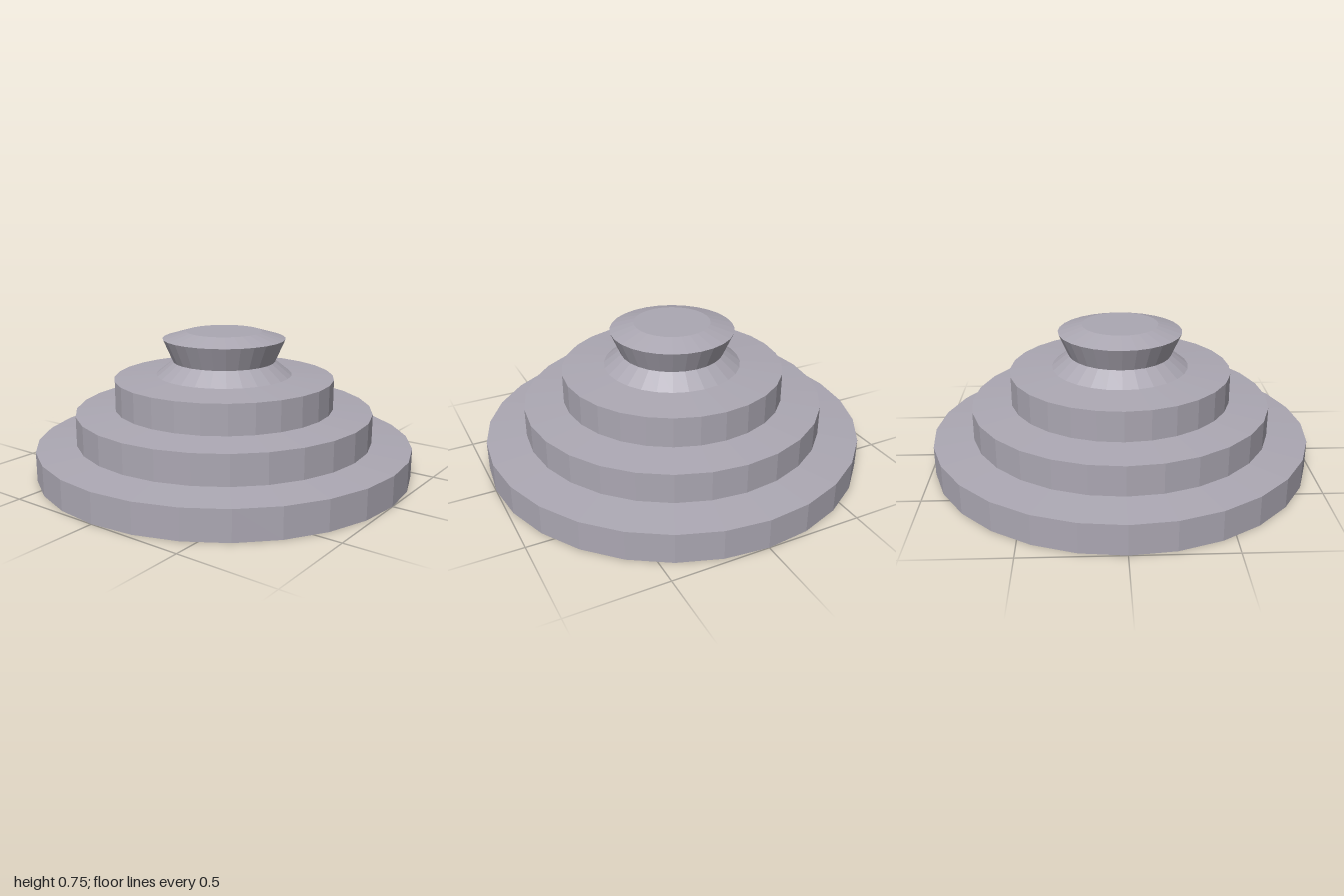
import * as THREE from 'three';

const SIDES = 28;

export function createModel() {
  const model = new THREE.Group();
  model.name = 'steppedPedestal';
  const stone = new THREE.MeshStandardMaterial({ color: 0xaba7b2, flatShading: true });
  stone.name = 'mauve grey stone';

  // Each part is a faceted ring turned from a [radius, height] profile, bottom to top
  const parts = {
    baseTier: [[0, 0], [1, 0], [1, 0.155], [0.79, 0.173]],
    middleTier: [[0.79, 0.173], [0.79, 0.328], [0.583, 0.345]],
    upperTier: [[0.583, 0.345], [0.583, 0.502], [0.36, 0.518]],
    neck: [[0.36, 0.518], [0.272, 0.588]],
    flaredCap: [[0.272, 0.588], [0.325, 0.708], [0.2, 0.745], [0, 0.745]],
  };
  for (const [name, profile] of Object.entries(parts)) {
    const points = profile.map(([r, y]) => new THREE.Vector2(r, y));
    const mesh = new THREE.Mesh(new THREE.LatheGeometry(points, SIDES), stone);
    mesh.name = name;
    model.add(mesh);
  }
  return model;
}
